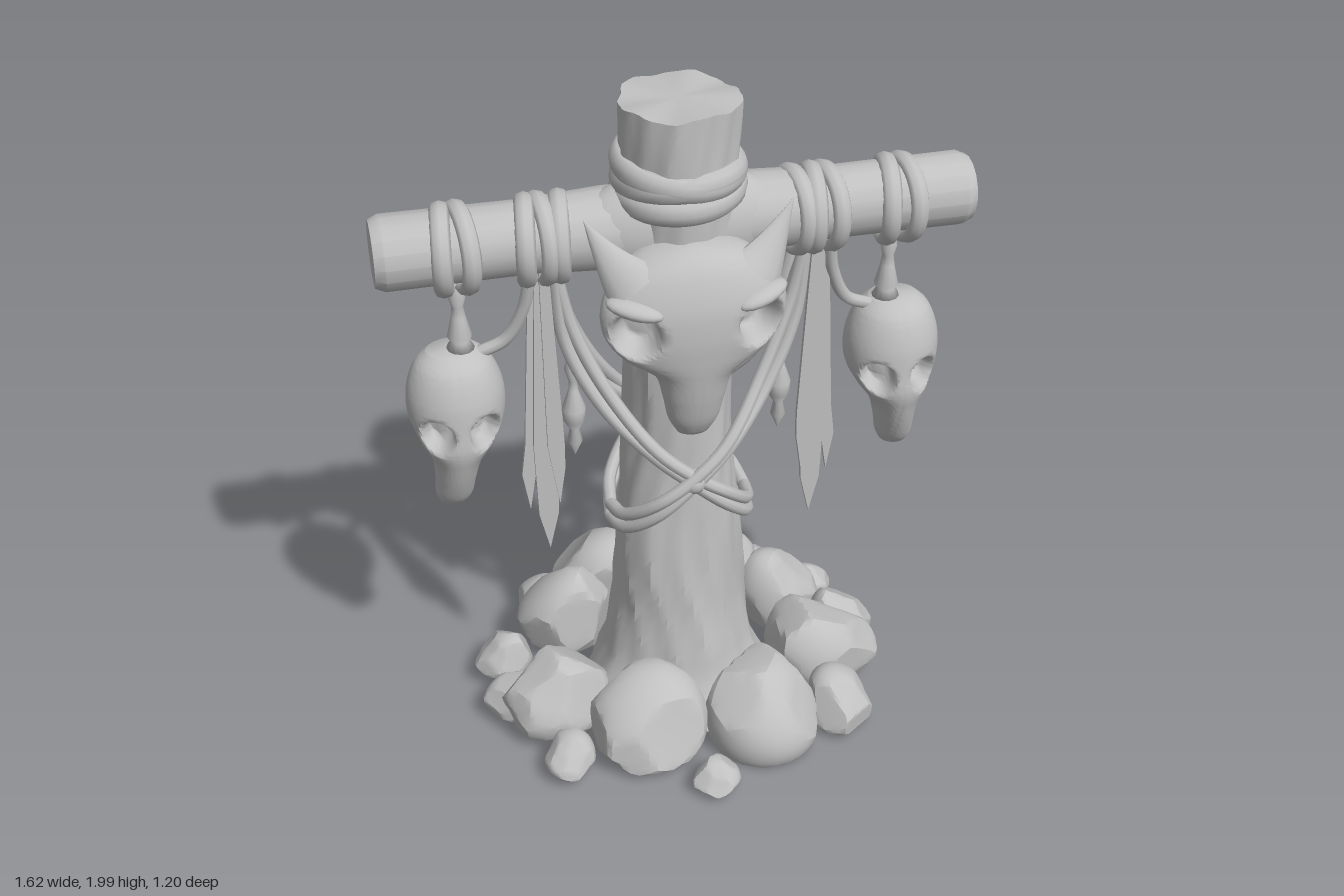
import * as THREE from 'three';
import { mergeVertices, toCreasedNormals } from 'three/addons/utils/BufferGeometryUtils.js';

const V = (x, y, z) => new THREE.Vector3(x, y, z);
const grey = new THREE.MeshStandardMaterial({ color: 0xc0c0c0 });
grey.name = 'plain grey';

let seed = 7;
const rand = () => (seed = (seed * 16807) % 2147483647) / 2147483647;

// Weld a geometry, move each vertex by a rule, keep sharp edges
function warp(geo, rule, crease = 0.6) {
  geo.deleteAttribute('uv');
  geo.deleteAttribute('normal');
  const g = mergeVertices(geo, 1e-4), p = g.attributes.position, v = V(0, 0, 0);
  for (let i = 0; i < p.count; i++) {
    v.fromBufferAttribute(p, i);
    rule(v);
    p.setXYZ(i, v.x, v.y, v.z);
  }
  return toCreasedNormals(g, crease);
}

// Closed form from stations [halfWidth, y, zFront, zBack], with hollow eye sockets
function skullGeometry(stations, eyes, eyeR, depth, lean = 0) {
  const front = new THREE.CatmullRomCurve3(stations.map(([w, y, f]) => V(w, y, f)));
  const back = new THREE.CatmullRomCurve3(stations.map(([w, y, , b]) => V(w, y, b)));
  return warp(new THREE.SphereGeometry(1, 80, 80), (v) => {
    const t = Math.acos(THREE.MathUtils.clamp(v.y, -1, 1)) / Math.PI;
    const r = Math.hypot(v.x, v.z), c = r > 1e-4 ? v.x / r : 0, s = r > 1e-4 ? v.z / r : 0;
    const f = front.getPoint(t), b = back.getPoint(t);
    v.set(c * f.x, f.y, (f.z + b.z) / 2 + s * (f.z - b.z) / 2);
    for (const e of eyes) {
      const k = 1 - THREE.MathUtils.smoothstep(v.distanceTo(e), eyeR * 0.55, eyeR * 1.1);
      v.z -= depth * k;
      v.x -= Math.sign(e.x) * depth * 0.35 * k;
    }
    v.x += lean * Math.max(0, 1.1 - v.y);
  }, 1.3);
}

export function createModel() {
  const model = new THREE.Group();
  model.name = 'totem';
  const add = (name, geo, parent = model) => {
    const m = new THREE.Mesh(geo, grey);
    m.name = name;
    parent.add(m);
    return m;
  };
  const group = (name) => {
    const g = new THREE.Group();
    g.name = name;
    model.add(g);
    return g;
  };
  const rope = (name, pts, r, parent) =>
    add(name, new THREE.TubeGeometry(new THREE.CatmullRomCurve3(pts.map((p) => V(...p))), 40, r, 8), parent);
  const lathe = (pts) => new THREE.LatheGeometry(pts.map(([r, y]) => new THREE.Vector2(r, y)).reverse(), 12);

  // Trunk with a flared foot and bark grooves
  const trunk = [[0.06, 0.29], [0.2, 0.225], [0.4, 0.195], [0.65, 0.18], [0.95, 0.155], [1.25, 0.15], [1.6, 0.154], [2, 0.158]];
  const trunkRadius = (y) => {
    let i = 0;
    while (i < trunk.length - 2 && y > trunk[i + 1][0]) i++;
    const [y0, r0] = trunk[i], [y1, r1] = trunk[i + 1];
    return r0 + (r1 - r0) * (y - y0) / (y1 - y0);
  };
  add('trunk', warp(new THREE.CylinderGeometry(1, 1, 1.93, 48, 48), (v) => {
    const a = Math.atan2(v.z, v.x), rim = Math.hypot(v.x, v.z), y = v.y + 1.025;
    const bark = 1 + 0.025 * Math.sin(5 * a + 3 * y) + 0.022 * Math.sin(13 * a + 3 * Math.sin(7 * y)) + 0.02 * Math.sin(3 * a - 9 * y);
    const r = trunkRadius(y) * bark * rim;
    const chip = v.y > 0.96 ? 0.006 * Math.sin(5 * a + 1) * rim : 0;
    v.set(Math.cos(a) * r, y + chip, 0.05 + Math.sin(a) * r);
  }, 0.5));

  // Crossbeam with a hide sleeve where it meets the trunk
  const end = [[0.112, 0.2], [0.1, 0.42], [0.102, 0.785], [0.09, 0.812], [0, 0.812]];
  const profile = [...end.map(([r, x]) => [r, -x]).reverse(), ...end];
  const beam = add('crossbeam', toCreasedNormals(new THREE.LatheGeometry(profile.map(([r, x]) => new THREE.Vector2(r, x)), 16), 0.5));
  beam.rotation.z = Math.PI / 2;
  beam.position.set(0, 1.635, 0.045);
  const sleeve = add('hideSleeve', new THREE.SphereGeometry(1, 32, 20));
  sleeve.scale.set(0.3, 0.155, 0.118);
  sleeve.position.set(0, 1.635, 0.06);

  // Cloth bindings below the trunk top
  const binding = group('trunkBinding');
  [[1.745, 0.05, 0.05], [1.785, -0.12, 0.06], [1.81, 0.08, -0.1]].forEach(([y, tx, tz]) => {
    const t = add('bindingBand', new THREE.TorusGeometry(0.157, 0.026, 10, 40), binding);
    t.position.set(0, y, 0.05);
    t.rotation.set(Math.PI / 2 + tx, tz, 0);
    t.scale.z = 1.4;
  });

  // Horned skull on the front
  const horned = group('hornedSkull');
  const skull = [[0.06, 1.65, 0.23, 0.12], [0.14, 1.625, 0.27, 0.1], [0.205, 1.58, 0.3, 0.11], [0.248, 1.5, 0.325, 0.12],
    [0.245, 1.42, 0.33, 0.13], [0.2, 1.35, 0.325, 0.14], [0.11, 1.28, 0.315, 0.15], [0.085, 1.2, 0.3, 0.16],
    [0.07, 1.13, 0.28, 0.17], [0.042, 1.075, 0.25, 0.19]];
  add('skull', skullGeometry(skull, [V(0.175, 1.435, 0.3), V(-0.175, 1.435, 0.3)], 0.07, 0.085), horned);

  const smallSkull = [[0.065, 1.325, 0.09, -0.01], [0.105, 1.285, 0.14, -0.05], [0.132, 1.21, 0.17, -0.075], [0.132, 1.13, 0.18, -0.08],
    [0.105, 1.06, 0.185, -0.06], [0.07, 1.0, 0.17, -0.03], [0.057, 0.93, 0.145, -0.01], [0.052, 0.87, 0.115, 0], [0.04, 0.838, 0.09, 0.015]];
  const tassel = [[0, 1.54], [0.014, 1.53], [0.024, 1.48], [0.016, 1.45], [0.02, 1.42], [0.034, 1.36], [0.026, 1.345], [0.04, 1.32], [0, 1.3]];
  const beads = [[0, 1.26], [0.014, 1.25], [0.024, 1.21], [0.012, 1.17], [0.014, 1.14], [0.034, 1.08], [0.03, 1.04], [0.014, 1.01], [0.022, 0.97], [0, 0.92]];

  for (const s of [-1, 1]) {
    // Horn: a broad, flattened spike curving up and out
    add('horn', warp(new THREE.ConeGeometry(1, 1, 12, 8), (v) => {
      const t = v.y + 0.5;
      v.set(s * (0.165 + 0.115 * t) + v.x * 0.065, 1.565 + 0.11 * t + 0.06 * t * t - s * v.x * 0.045, 0.235 - 0.06 * t + v.z * 0.045);
    }), horned);
    const brow = add('browRidge', new THREE.SphereGeometry(1, 16, 12), horned);
    brow.scale.set(0.08, 0.025, 0.04);
    brow.position.set(s * 0.17, 1.515, 0.28);
    brow.rotation.set(0, s * 0.4, s * 0.2);

    // Hanging small skull with its cord
    const hung = group(s > 0 ? 'leftHangingSkull' : 'rightHangingSkull');
    add('smallSkull', skullGeometry(smallSkull, [V(0.07, 1.11, 0.158), V(-0.07, 1.11, 0.158)], 0.053, 0.065, s * 0.1), hung).position.x = s * 0.623;
    add('cordKnot', lathe(tassel), hung).position.set(s * 0.6, 0, 0.045);

    // Rope turns round the beam, sagging a little below it
    const turns = group('beamRopes');
    [[0.63, 0.12], [0.58, -0.14], [0.41, 0.15], [0.37, -0.1], [0.32, 0.14]].forEach(([x, tilt]) => {
      const t = add('ropeTurn', new THREE.TorusGeometry(0.106, 0.019, 8, 32), turns);
      t.position.set(s * x, 1.625, 0.045);
      t.rotation.set(0, Math.PI / 2 + s * tilt, tilt);
      t.scale.set(1, 1.03, 1.4);
    });

    // Swag from the beam to the small skull
    rope('swagRope', [[s * 0.41, 1.56, 0.1], [s * 0.43, 1.44, 0.08], [s * 0.48, 1.34, 0.06], [s * 0.56, 1.3, 0.05]], 0.018);

    // Ribbons: thin tapering strips [topX, midX, tipX, tipY, halfWidth, z]
    const ribbons = group('ribbons');
    [[0.385, 0.385, 0.387, 0.64, 0.037, 0.08], [0.4, 0.418, 0.437, 0.78, 0.026, 0.07], [0.375, 0.36, 0.355, 0.8, 0.024, 0.09]].forEach(([a, b, c, tip, w, z]) => {
      const right = [[a + 0.013, 1.57], [b + w, 1.0], [c + w * 0.75, tip + 0.12]];
      const left = [[c - w * 0.75, tip + 0.12], [b - w, 1.0], [a - 0.013, 1.57]];
      const outline = [...right, [c, tip], ...left].map(([x, y]) => new THREE.Vector2(s * x, y));
      add('ribbon', new THREE.ExtrudeGeometry(new THREE.Shape(outline), { depth: 0.014, bevelEnabled: false }), ribbons).position.z = z;
    });

    // Bead strand
    rope('beadCord', [[s * 0.36, 1.54, 0.06], [s * 0.32, 1.4, 0.05], [s * 0.3, 1.22, 0.045]], 0.013);
    add('beads', lathe(beads)).position.set(s * 0.297, 0, 0.045);

    // Strands from the beam crossing at front and back, then sagging to meet at the far side
    for (const f of [1, -1]) {
      for (const d of [0, 0.045]) {
        const out = d * 0.15 + (s > 0 ? 0.012 : 0);
        const path = [[0.345, 1.55, 0.04], [0.32 - d * 0.4, 1.32 + d, 0.045], [0.23 - d * 0.3, 1.13 + d, 0.09], [0.1, 0.985 + d * 0.6, 0.155 + out],
          [0, 0.9 + d * 0.6, 0.182 + out], [-0.1, 0.805 + d, 0.17 + out], [-0.18, 0.72 + d, 0.1], [-0.2, 0.69 + d, 0]];
        rope('crossedRope', path.map(([x, y, z]) => [s * x, y, 0.05 + f * z]), 0.019);
      }
    }
  }
  for (const z of [0.235, -0.135]) {
    const knot = add('ropeKnot', new THREE.SphereGeometry(0.037, 14, 10));
    knot.position.set(0, 0.91, z);
  }

  // Rocks round the foot: [x, z, radiusX, radiusZ, bottom, top]
  const rocks = [
    [-0.14, -0.40, 0.165, 0.16, 0.07, 0.30], [0.01, -0.54, 0.07, 0.06, 0.06, 0.15], [0.25, -0.46, 0.09, 0.075, 0.06, 0.17],
    [0.37, -0.35, 0.065, 0.07, 0.06, 0.17], [0.20, -0.27, 0.15, 0.14, 0.08, 0.36], [-0.35, -0.37, 0.075, 0.07, 0.06, 0.16],
    [-0.31, -0.19, 0.15, 0.13, 0.07, 0.33], [0.38, -0.15, 0.14, 0.11, 0.06, 0.30], [0.52, -0.23, 0.065, 0.065, 0.06, 0.15],
    [0.08, -0.41, 0.08, 0.08, 0.06, 0.19], [-0.52, -0.10, 0.09, 0.08, 0.06, 0.18], [0.55, -0.01, 0.10, 0.10, 0.06, 0.2],
    [-0.40, 0.15, 0.16, 0.13, 0.05, 0.27], [-0.52, 0.09, 0.09, 0.09, 0.06, 0.15], [0.44, 0.12, 0.18, 0.14, 0.05, 0.28],
    [-0.40, 0.36, 0.075, 0.08, 0.04, 0.14], [-0.15, 0.32, 0.17, 0.145, 0.03, 0.28], [0.19, 0.35, 0.17, 0.155, 0.01, 0.28],
    [0.44, 0.33, 0.09, 0.11, 0.03, 0.18], [0, 0.53, 0.072, 0.065, 0.02, 0.11]];
  const pile = group('rockPile');
  for (const [x, z, rx, rz, y0, y1] of rocks) {
    // Each rock is a ball trimmed by flat cuts, fitted to its box and sloping away from the trunk
    const cuts = [[V(0, -1, 0), 0.45]];
    for (let i = 0; i < 12; i++) cuts.push([V(rand() * 2 - 1, rand() * 1.6 - 0.6, rand() * 2 - 1).normalize(), 0.74 + rand() * 0.16]);
    const ball = warp(new THREE.IcosahedronGeometry(1, 6), (v) => {
      for (const [n, d] of cuts) v.addScaledVector(n, -Math.max(0, v.dot(n) - d));
    });
    ball.computeBoundingBox();
    const { min, max } = ball.boundingBox, far = Math.hypot(x, z);
    add('rock', warp(ball, (v) => {
      const u = v.clone().sub(min).divide(max.clone().sub(min));
      const dx = (u.x * 2 - 1) * rx, dz = (u.z * 2 - 1) * rz;
      const slope = 1 - 0.3 * (dx * x + dz * z) / (far * Math.max(rx, rz));
      v.set(x + dx, y0 + u.y * (y1 - y0) * slope, z + dz);
    }, 0.4), pile);
  }
  return model;
}
